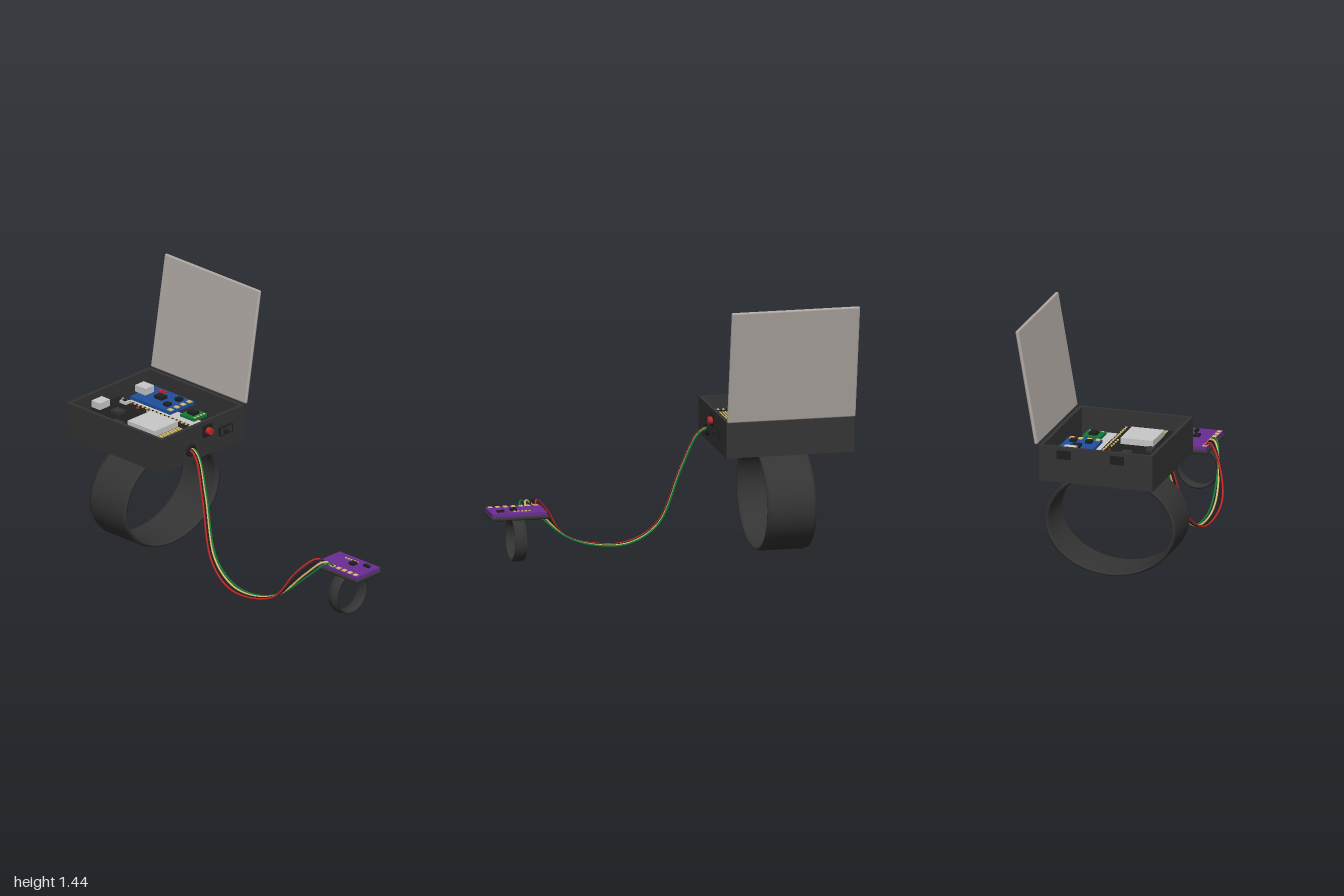
import * as THREE from 'three';
import { RoundedBoxGeometry } from 'three/addons/geometries/RoundedBoxGeometry.js';

const mat = (name, color) => {
  const m = new THREE.MeshStandardMaterial({ color });
  m.name = name;
  return m;
};

export function createModel() {
  const charcoal = mat('charcoal plastic', 0x343434);
  const black = mat('black', 0x1f1f1f);
  const smoke = mat('lid grey', 0xafa7a3);
  const silver = mat('silver', 0xc9c9c9);
  const blue = mat('blue board', 0x1f4f9f);
  const green = mat('green', 0x13773a);
  const purple = mat('purple board', 0x6a2d94);
  const red = mat('red', 0xc42626);
  const gold = mat('gold', 0xd8bd6a);

  const model = new THREE.Group();
  model.name = 'wristUnitWithFingerSensor';
  const group = (name) => {
    const g = new THREE.Group();
    g.name = name;
    model.add(g);
    return g;
  };
  const add = (parent, name, geometry, material, x = 0, y = 0, z = 0) => {
    const m = new THREE.Mesh(geometry, material);
    m.name = name;
    m.position.set(x, y, z);
    parent.add(m);
    return m;
  };
  // Box given by its ranges along x, y and z
  const box = (parent, name, material, x0, x1, y0, y1, z0, z1) =>
    add(parent, name, new THREE.BoxGeometry(x1 - x0, y1 - y0, z1 - z0), material,
      (x0 + x1) / 2, (y0 + y1) / 2, (z0 + z1) / 2);
  // Small part centred on x, z and standing on y
  const chip = (parent, name, material, x, y, z, w, h, d) =>
    box(parent, name, material, x - w / 2, x + w / 2, y, y + h, z - d / 2, z + d / 2);
  // Elliptical band around the x axis
  const band = (name, parent, x, y, z, width, ry, rz, t) => {
    const h = width / 2, b = t * 0.25;
    const profile = [[1 - t, -h + b], [1 - t + b, -h], [1 - b, -h], [1, -h + b],
      [1, h - b], [1 - b, h], [1 - t + b, h], [1 - t, h - b], [1 - t, -h + b]]
      .map(([r, v]) => new THREE.Vector2(r, v));
    const g = new THREE.LatheGeometry(profile, 96);
    g.rotateZ(Math.PI / 2);
    g.scale(1, ry, rz);
    return add(parent, name, g, charcoal, x, y, z);
  };

  // Open case: four walls and a floor
  const caseGroup = group('case');
  const X0 = -1, X1 = -0.275, Z0 = -0.285, Z1 = 0.37, W = 0.02;
  box(caseGroup, 'caseFloor', charcoal, X0, X1, 0.6, 0.62, Z0, Z1);
  box(caseGroup, 'frontWall', charcoal, X0, X1, 0.62, 0.805, Z1 - W, Z1);
  box(caseGroup, 'backWall', charcoal, X0, X1, 0.62, 0.805, Z0, Z0 + W);
  box(caseGroup, 'leftWall', charcoal, X1 - W, X1, 0.62, 0.805, Z0 + W, Z1 - W);
  box(caseGroup, 'rightWall', charcoal, X0, X0 + W, 0.62, 0.805, Z0 + W, Z1 - W);
  for (const z of [-0.145, 0.165])
    box(caseGroup, 'portSlot', black, X0 - 0.002, X0 + 0.003, 0.735, 0.785, z - 0.04, z + 0.04);

  // Raised lid
  const lid = add(model, 'lid', new RoundedBoxGeometry(0.725, 0.655, 0.02, 3, 0.009),
    smoke, -0.6375, 1.127, -0.36);
  lid.rotation.x = -0.172;

  // Wrist strap
  band('wristStrap', model, -0.6375, 0.3, 0.047, 0.275, 0.295, 0.38, 0.07);

  // Push button, slide switch and cable grommet on the side wall
  const controls = group('sideControls');
  box(controls, 'buttonPlate', black, X1, -0.265, 0.714, 0.785, -0.023, 0.047);
  const button = add(controls, 'pushButton', new THREE.CylinderGeometry(0.02, 0.021, 0.028, 24),
    red, -0.255, 0.75, 0.012);
  button.rotation.z = -Math.PI / 2;
  box(controls, 'switchPlate', black, X1, -0.262, 0.683, 0.734, -0.18, -0.08);
  box(controls, 'switchSlot', charcoal, -0.262, -0.26, 0.69, 0.727, -0.172, -0.088);
  box(controls, 'switchKnob', black, -0.262, -0.24, 0.699, 0.717, -0.127, -0.106);
  const grommet = add(controls, 'cableGrommet', new THREE.TorusGeometry(0.026, 0.012, 12, 32),
    black, -0.272, 0.672, 0.142);
  grommet.rotation.y = Math.PI / 2;
  const bore = add(controls, 'grommetBore', new THREE.CylinderGeometry(0.024, 0.024, 0.006, 24),
    black, -0.273, 0.672, 0.142);
  bore.rotation.z = Math.PI / 2;

  // Battery
  const battery = group('battery');
  add(battery, 'batteryPack', new RoundedBoxGeometry(0.595, 0.075, 0.165, 3, 0.012),
    silver, -0.652, 0.6575, -0.068);
  chip(battery, 'batteryConnector', gold, -0.95, 0.69, -0.015, 0.02, 0.03, 0.028);

  // Main controller board
  const main = group('controllerBoard');
  const my = 0.735;
  box(main, 'controllerBase', black, -0.96, -0.35, my - 0.015, my, 0.0, 0.33);
  box(main, 'radioModule', silver, -0.645, -0.44, my, my + 0.035, 0.07, 0.257);
  for (let i = 0; i < 5; i++)
    chip(main, 'antennaStripe', gold, -0.427 + i * 0.0155, my, 0.163, 0.008, 0.004, 0.18);
  for (const z of [0.015, 0.31])
    for (let i = 0; i < 19; i++)
      chip(main, 'headerPin', gold, -0.91 + i * 0.03, my, z, 0.012, 0.006, 0.012);
  box(main, 'usbPort', silver, -0.968, -0.905, my, my + 0.04, 0.125, 0.205);
  chip(main, 'powerChip', charcoal, -0.81, my, 0.16, 0.06, 0.018, 0.055);
  chip(main, 'serialChip', charcoal, -0.71, my, 0.265, 0.065, 0.016, 0.035);
  for (const z of [0.04, 0.29]) {
    chip(main, 'resetButton', silver, -0.872, my, z, 0.045, 0.016, 0.036);
    chip(main, 'resetButtonCap', black, -0.872, my + 0.016, z, 0.022, 0.006, 0.02);
  }
  chip(main, 'powerLight', red, -0.77, my, 0.045, 0.014, 0.008, 0.01);
  for (let i = 0; i < 4; i++)
    chip(main, 'resistor', gold, -0.7 + i * 0.036, my, 0.038, 0.016, 0.006, 0.009);

  // Blue charger board
  const charger = group('chargerBoard');
  const by = 0.735;
  box(charger, 'chargerBase', blue, -0.915, -0.61, by - 0.018, by, -0.24, -0.045);
  box(charger, 'chargerPort', silver, -0.938, -0.86, by, by + 0.04, -0.178, -0.11);
  chip(charger, 'chargerChip', black, -0.775, by, -0.143, 0.056, 0.018, 0.046);
  for (const z of [-0.19, -0.1]) chip(charger, 'smallChip', black, -0.682, by, z, 0.036, 0.016, 0.034);
  for (let i = 0; i < 4; i++)
    chip(charger, 'chargerPad', gold, -0.626, by, -0.215 + i * 0.05, 0.028, 0.005, 0.024);
  chip(charger, 'chargeLight', red, -0.83, by, -0.2, 0.025, 0.012, 0.02);
  chip(charger, 'statusLight', red, -0.805, by, -0.213, 0.016, 0.01, 0.012);

  // Green regulator board
  const regulator = group('regulatorBoard');
  box(regulator, 'regulatorBase', green, -0.56, -0.455, 0.715, 0.73, -0.178, -0.073);
  chip(regulator, 'regulatorChip', black, -0.512, 0.73, -0.126, 0.05, 0.016, 0.046);
  for (let i = 0; i < 4; i++)
    chip(regulator, 'regulatorPad', gold, -0.464, 0.73, -0.162 + i * 0.024, 0.012, 0.004, 0.012);

  // Finger ring with its sensor board
  const sensor = group('fingerSensor');
  band('fingerRing', sensor, 0.8325, 0.134, 0.046, 0.067, 0.127, 0.127, 0.165);
  add(sensor, 'sensorTray', new RoundedBoxGeometry(0.325, 0.022, 0.2, 3, 0.01),
    charcoal, 0.832, 0.269, 0.044);
  box(sensor, 'sensorBase', purple, 0.68, 0.988, 0.278, 0.298, -0.047, 0.136);
  chip(sensor, 'sensorChip', black, 0.853, 0.298, 0.028, 0.035, 0.014, 0.033);
  chip(sensor, 'sensorMemory', black, 0.932, 0.298, 0.0, 0.04, 0.012, 0.018);
  for (let i = 0; i < 7; i++)
    chip(sensor, 'sensorPad', gold, 0.705 + i * 0.043, 0.298, 0.122, 0.024, 0.004, 0.024);
  for (let i = 0; i < 5; i++)
    chip(sensor, 'sensorResistor', gold, 0.77 + i * 0.021, 0.298, -0.005, 0.012, 0.005, 0.009);

  // Four cable wires, fanning out towards the sensor
  const cable = group('cable');
  [red, black, gold, green].forEach((material, i) => {
    const dz = -i * 0.017, dx = i * 0.03, s = -i * 0.009;
    const path = new THREE.CatmullRomCurve3([
      [-0.335, 0.675, 0.155 + s], [-0.265, 0.678, 0.155 + s], [-0.215, 0.645, 0.162 + s],
      [-0.13, 0.45, 0.2 + s * 1.3], [-0.01, 0.13, 0.255 + dz * 0.8], [0.15, 0.025, 0.288 + dz],
      [0.35, 0.025, 0.3 + dz], [0.51, 0.085, 0.287 + dz],
      [0.61 + dx * 0.85, 0.235, 0.235 + dz * 0.6], [0.685 + dx, 0.318, 0.165],
      [0.702 + dx, 0.318, 0.136], [0.705 + dx, 0.296, 0.122],
    ].map((p) => new THREE.Vector3(...p)));
    add(cable, 'wire', new THREE.TubeGeometry(path, 120, 0.0055, 8), material);
  });

  return model;
}
